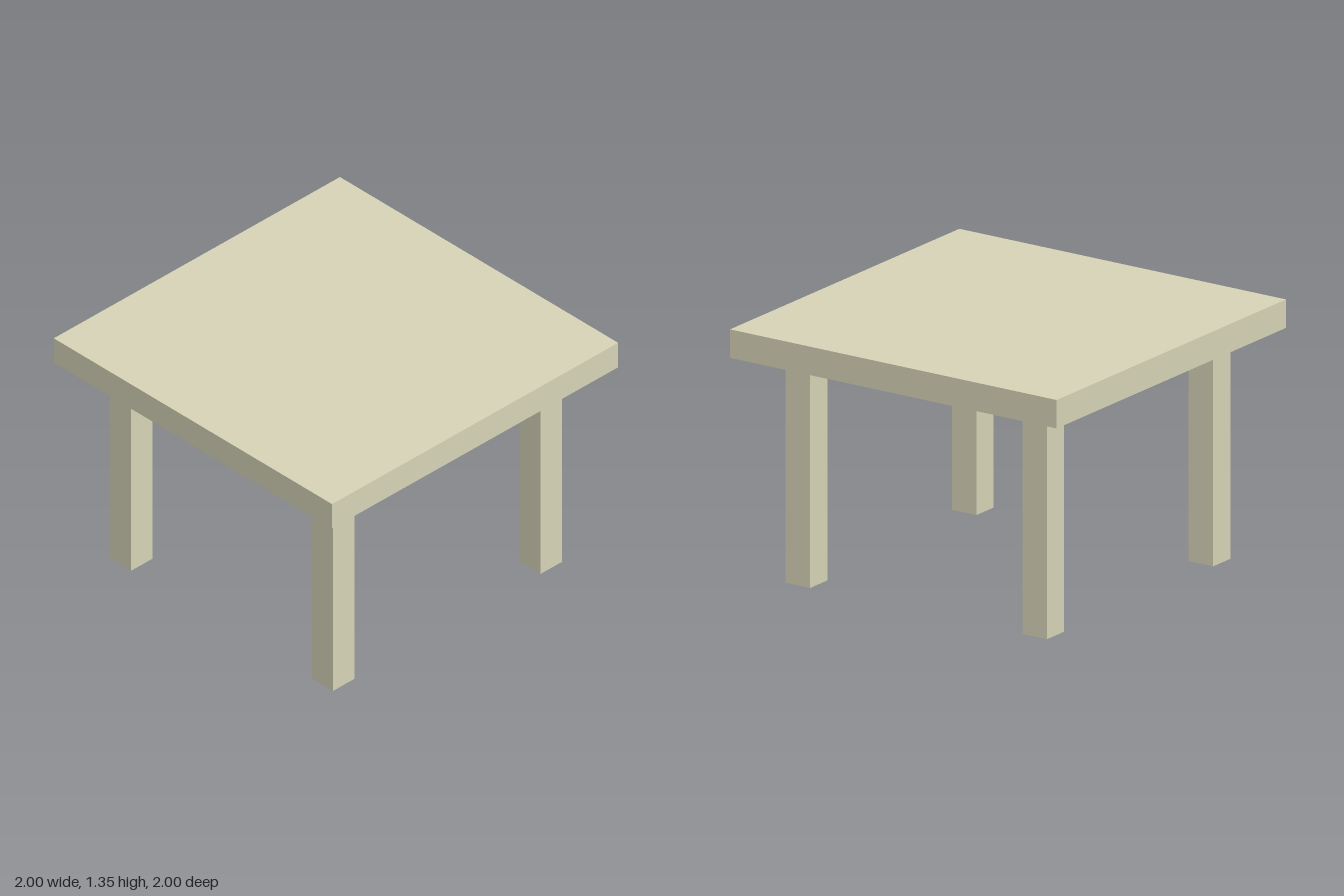
import * as THREE from 'three';

const LEG_HEIGHT = 1.2;
const LEG_WIDTH = 0.15;
const LEG_OFFSET = 0.725; // leg centre from the table's centre
const TOP_SIZE = 2;
const TOP_THICKNESS = 0.15;

export function createModel() {
  const table = new THREE.Group();
  table.name = 'table';
  const wood = new THREE.MeshStandardMaterial({ color: 0xd6d3b6 });

  // Square slab
  const top = new THREE.Mesh(new THREE.BoxGeometry(TOP_SIZE, TOP_THICKNESS, TOP_SIZE), wood);
  top.name = 'tableTop';
  top.position.y = LEG_HEIGHT + TOP_THICKNESS / 2;
  table.add(top);

  // Four square legs, set in from the corners
  const legGeometry = new THREE.BoxGeometry(LEG_WIDTH, LEG_HEIGHT, LEG_WIDTH);
  for (const [end, z] of [['front', 1], ['back', -1]]) {
    for (const [side, x] of [['Left', 1], ['Right', -1]]) {
      const leg = new THREE.Mesh(legGeometry, wood);
      leg.name = `${end}${side}Leg`;
      leg.position.set(x * LEG_OFFSET, LEG_HEIGHT / 2, z * LEG_OFFSET);
      table.add(leg);
    }
  }

  return table;
}
